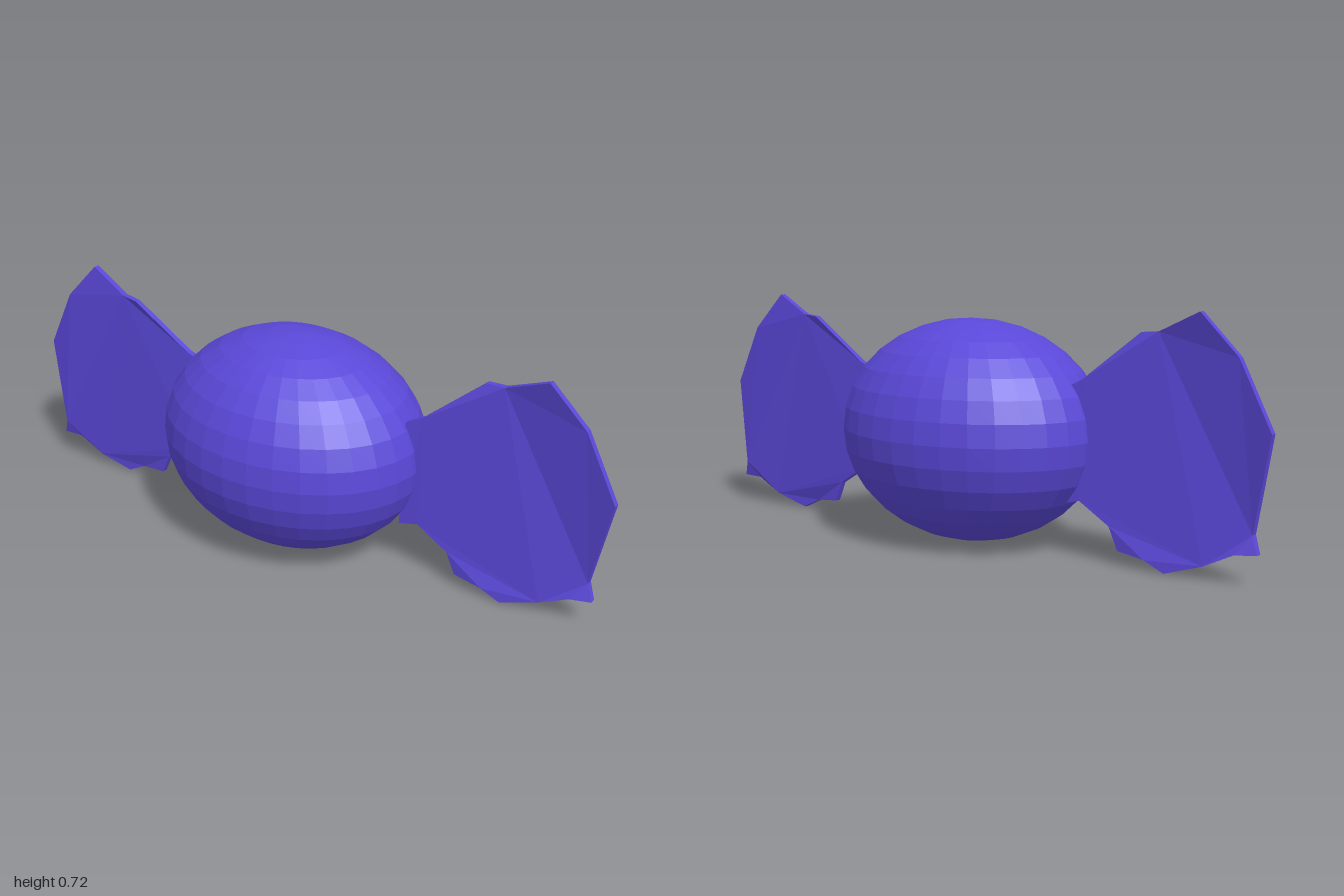
import * as THREE from 'three';

const material = new THREE.MeshStandardMaterial({ color: 0x5a48d8, flatShading: true });

// Wrapper end outline: [z, y, sideways offset x]
const OUTLINE = [
  [0.36, 0.155, 0.02], [0.42, 0.17, 0.025], [0.52, 0.11, 0.03], [0.55, 0.045, 0.03],
  [0.64, 0.035, 0.026], [0.70, 0.005, 0.035], [0.81, 0.04, 0.055], [0.90, 0.085, 0.06],
  [0.96, 0.09, 0.075], [0.94, 0.14, 0.085], [1.0, 0.415, 0.06], [0.90, 0.605, 0.06],
  [0.79, 0.72, 0.045], [0.65, 0.66, 0.065], [0.59, 0.655, 0.07], [0.42, 0.515, 0.03],
  [0.37, 0.49, 0.02],
];
const THICKNESS = 0.018;

// Thin crumpled sheet: extruded outline whose rim is pushed sideways
function wrapperEndGeometry() {
  const shape = new THREE.Shape(OUTLINE.map(([z, y]) => new THREE.Vector2(z, y)));
  const geometry = new THREE.ExtrudeGeometry(shape, { depth: THICKNESS, bevelEnabled: false });
  geometry.rotateY(-Math.PI / 2);
  const p = geometry.attributes.position;
  for (let i = 0; i < p.count; i++) {
    const point = OUTLINE.find(([z, y]) => Math.hypot(z - p.getZ(i), y - p.getY(i)) < 1e-4);
    p.setX(i, p.getX(i) + THICKNESS / 2 + point[2]);
  }
  geometry.computeVertexNormals();
  return geometry;
}

export function createModel() {
  const model = new THREE.Group();
  model.name = 'wrappedCandy';

  // Faceted egg-shaped body
  const body = new THREE.Mesh(new THREE.SphereGeometry(1, 32, 16), material);
  body.name = 'candyBody';
  body.scale.set(0.345, 0.335, 0.428);
  body.position.set(0, 0.338, -0.018);
  model.add(body);

  // Two wrapper ends, the back one turned half way round
  const geometry = wrapperEndGeometry();
  for (const name of ['frontWrapperEnd', 'backWrapperEnd']) {
    const end = new THREE.Mesh(geometry, material);
    end.name = name;
    if (name === 'backWrapperEnd') {
      end.rotation.y = Math.PI;
      end.position.x = 0.01;
    }
    model.add(end);
  }
  return model;
}
